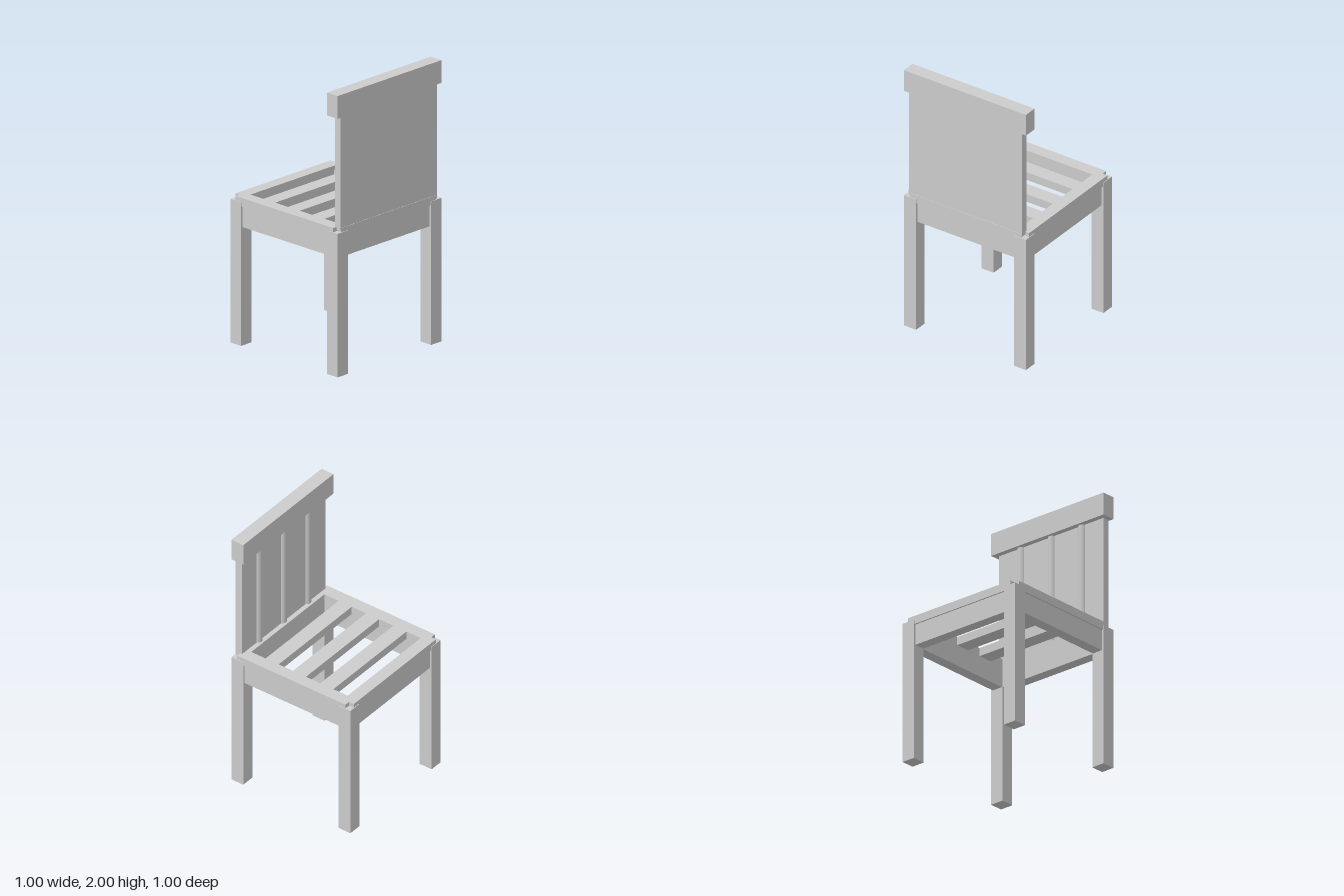
import * as THREE from 'three';

const material = new THREE.MeshStandardMaterial({ color: 0xcccccc });

export function createModel() {
  const model = new THREE.Group();
  model.name = 'chair';

  const add = (name, geometry, x = 0, y = 0, z = 0) => {
    const mesh = new THREE.Mesh(geometry, material);
    mesh.name = name;
    mesh.position.set(x, y, z);
    model.add(mesh);
    return mesh;
  };
  // Box given by its lower and upper corners
  const box = (name, [x0, y0, z0], [x1, y1, z1]) =>
    add(name, new THREE.BoxGeometry(x1 - x0, y1 - y0, z1 - z0),
      (x0 + x1) / 2, (y0 + y1) / 2, (z0 + z1) / 2);

  // Four square legs
  for (const sx of [-1, 1]) {
    for (const sz of [-1, 1]) {
      add((sz > 0 ? 'front' : 'back') + (sx > 0 ? 'Left' : 'Right') + 'Leg',
        new THREE.BoxGeometry(0.1, 1.02, 0.1), sx * 0.45, 0.51, sz * 0.45);
    }
  }

  // Aprons between the legs, slightly recessed under the seat
  for (const s of [-1, 1]) {
    add(s > 0 ? 'frontApron' : 'backApron',
      new THREE.BoxGeometry(0.8, 0.16, 0.08), 0, 0.92, s * 0.445);
    add(s > 0 ? 'leftApron' : 'rightApron',
      new THREE.BoxGeometry(0.08, 0.16, 0.8), s * 0.445, 0.92, 0);
  }

  // Seat with notched corners and four slots that leave three slats
  const o = 0.495, n = 0.455, i = 0.405;
  const seat = new THREE.Shape([
    [-n, -o], [n, -o], [n, -n], [o, -n], [o, n], [n, n],
    [n, o], [-n, o], [-n, n], [-o, n], [-o, -n], [-n, -n],
  ].map(([x, y]) => new THREE.Vector2(x, y)));
  for (const [a, b] of [[-0.405, -0.285], [-0.175, -0.055], [0.055, 0.175], [0.285, 0.405]]) {
    seat.holes.push(new THREE.Path([
      [-i, a], [-i, b], [i, b], [i, a],
    ].map(([x, y]) => new THREE.Vector2(x, y))));
  }
  const seatGeometry = new THREE.ExtrudeGeometry(seat, { depth: 0.06, bevelEnabled: false });
  seatGeometry.rotateX(-Math.PI / 2);
  add('seat', seatGeometry, 0, 0.99, 0);

  // Backrest: panel, round spindles half sunk into it, and top rail
  box('backrestPanel', [-0.463, 1.03, 0.44], [0.463, 1.85, 0.492]);
  for (const x of [-0.27, 0, 0.27]) {
    add('backrestSpindle', new THREE.CylinderGeometry(0.03, 0.03, 0.82, 24), x, 1.44, 0.45);
  }
  box('topRail', [-0.5, 1.838, 0.4], [0.5, 2, 0.5]);

  return model;
}
